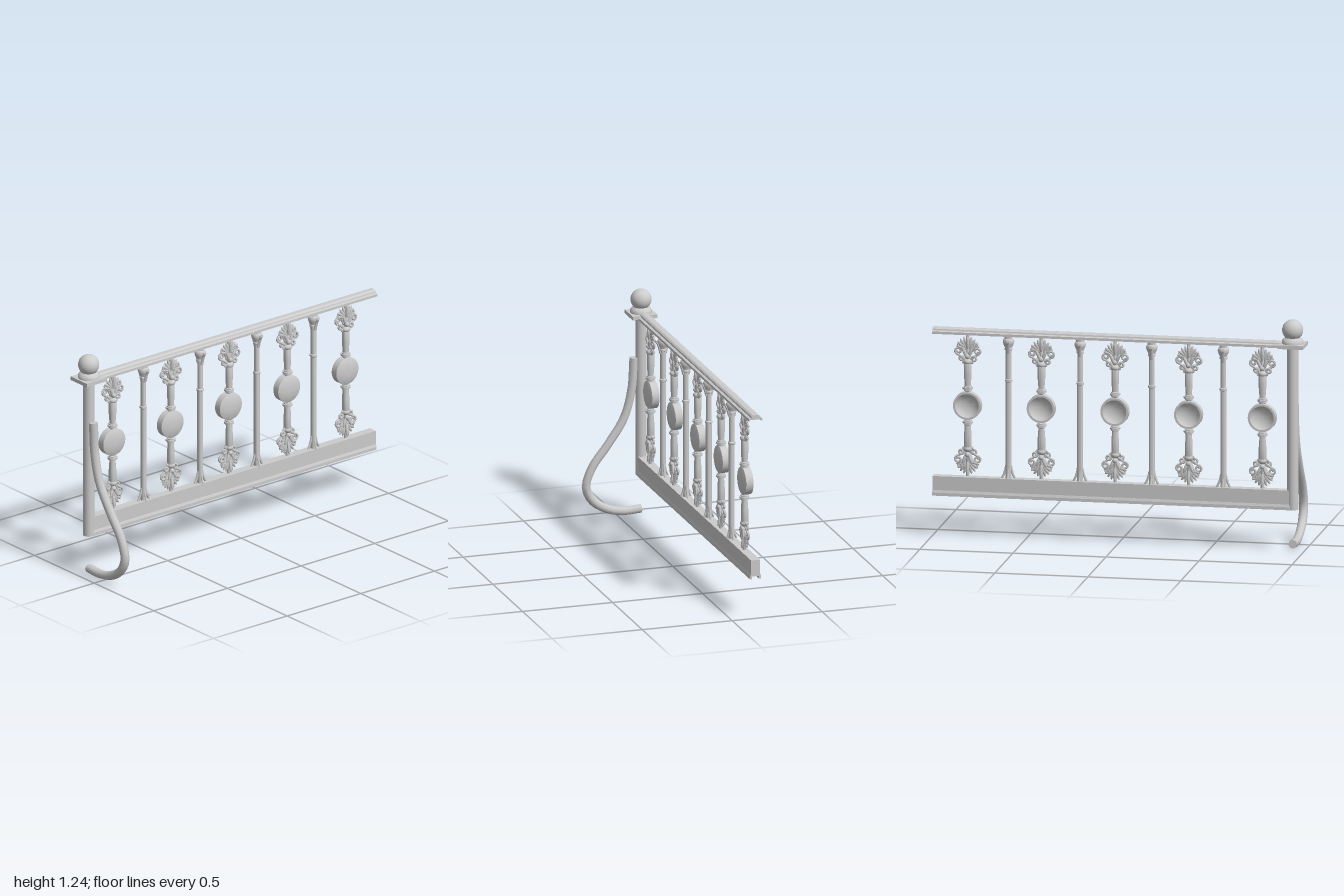
import * as THREE from 'three';
import { mergeGeometries, toCreasedNormals } from 'three/addons/utils/BufferGeometryUtils.js';

const V = (x, y, z = 0) => new THREE.Vector3(x, y, z);
const grey = new THREE.MeshStandardMaterial({ color: 0xcccccc });
const Z = -0.13; // centre plane of the fence
const POST_X = -0.932;

function add(parent, name, geometry, x = 0, y = 0, z = 0) {
  const mesh = new THREE.Mesh(geometry, grey);
  mesh.name = name;
  mesh.position.set(x, y, z);
  parent.add(mesh);
  return mesh;
}

// Turned part from [radius, height] pairs, listed bottom to top
function turned(profile, segments = 20, crease = 0.7) {
  const pts = profile.map(([r, h]) => new THREE.Vector2(r, h));
  return toCreasedNormals(new THREE.LatheGeometry(pts, segments), crease);
}

// Moulding swept along x; half profile is [z, y] up the right-hand side, then mirrored
function moulding(half, x0, x1) {
  const all = [...half, ...half.slice().reverse().map(([z, y]) => [-z, y])];
  const shape = new THREE.Shape(all.map(([z, y]) => new THREE.Vector2(z, y)));
  const g = new THREE.ExtrudeGeometry(shape, { depth: x1 - x0, bevelEnabled: false });
  return g.rotateY(Math.PI / 2).translate(x0, 0, Z);
}

// Scroll: a stem leaving the rod and winding into a spiral
function scroll(startY, cx, cy, R, from, turn, thick) {
  const pts = [V(0, startY)];
  for (let i = 0; i <= 12; i++) {
    const t = i / 12, a = from + turn * t, r = R * (1 - 0.65 * t);
    pts.push(V(cx + r * Math.cos(a), cy + r * Math.sin(a), 0.006 * t));
  }
  return new THREE.TubeGeometry(new THREE.CatmullRomCurve3(pts), 26, thick, 6);
}

// Slim leaf growing from a base point, leaning by an angle
function leaf(baseY, length, angle, z = 0, tilt = 0) {
  return new THREE.SphereGeometry(1, 8, 6)
    .scale(0.009, length / 2, 0.007)
    .translate(0, length / 2, 0)
    .rotateX(tilt).rotateZ(angle)
    .translate(0, baseY, z);
}

// Leaf-and-scroll cluster, heights measured from the disc centre
function foliageGeometry() {
  const parts = [];
  for (const side of [0, Math.PI]) {
    parts.push(
      scroll(0.235, 0.05, 0.292, 0.02, -1.6, 8, 0.0065),
      scroll(0.22, 0.034, 0.25, 0.018, -1.9, -7.5, 0.0065),
      scroll(0.275, 0.04, 0.325, 0.014, -1.2, 7.5, 0.005),
    );
    for (const p of parts.slice(-3)) p.rotateY(side);
  }
  for (const a of [0.3, 0.62, 0.95, 1.3])
    for (const s of [-1, 1]) parts.push(leaf(0.3, 0.076 - 0.008 * a, s * a));
  for (const s of [-1, 1]) {
    parts.push(leaf(0.3, 0.075, 0, s * 0.006, s * 0.14));
    for (const a of [-0.4, 0.4]) parts.push(leaf(0.25, 0.07, a, s * 0.008, s * 0.1));
    parts.push(new THREE.SphereGeometry(0.014, 10, 8).translate(0, 0.265, s * 0.01));
  }
  parts.push(new THREE.SphereGeometry(0.024, 14, 10).scale(1, 0.75, 1).translate(0, 0.235, 0));
  return mergeGeometries(parts);
}

export function createModel() {
  const model = new THREE.Group();
  model.name = 'railing';

  // Post with square cap and ball finial
  const post = new THREE.Group();
  post.name = 'post';
  post.position.set(POST_X, 0, Z);
  model.add(post);
  add(post, 'postShaft', new THREE.CylinderGeometry(0.03, 0.03, 0.88, 20), 0, 0.66);
  add(post, 'capPlate', new THREE.BoxGeometry(0.136, 0.02, 0.136), 0, 1.107);
  add(post, 'finialBase', turned([[0, 1.115], [0.057, 1.115], [0.057, 1.132], [0.052, 1.14],
    [0.04, 1.146], [0.036, 1.155], [0, 1.155]], 24));
  add(post, 'finialBall', new THREE.SphereGeometry(0.056, 28, 20), 0, 1.189);

  // Handrail and hollow-bottomed base beam
  add(model, 'handrail', moulding([[0.03, 1.095], [0.037, 1.095], [0.037, 1.108], [0.024, 1.112],
    [0.022, 1.12], [0.014, 1.126], [0.005, 1.127]].reduce((a, p) => [...a, p], [[0.03, 1.102]]), -0.9, 1));
  add(model, 'baseBeam', moulding([[0.02, 0.236], [0.02, 0.22], [0.03, 0.22], [0.03, 0.236],
    [0.025, 0.25], [0.025, 0.325]], POST_X + 0.01, 1));

  // Curved brace in front of the post
  const path = new THREE.CatmullRomCurve3([[-0.09, 0.87], [-0.077, 0.69], [-0.035, 0.54],
    [0.055, 0.4], [0.14, 0.285], [0.175, 0.175], [0.14, 0.1], [0.06, 0.048], [-0.03, 0.027],
    [-0.13, 0.031]].map(([z, y]) => V(POST_X, y, z)));
  add(model, 'brace', new THREE.TubeGeometry(path, 36, 0.024, 8));
  for (const t of [0, 1]) {
    const p = path.getPoint(t);
    const end = add(model, 'braceEnd', new THREE.CircleGeometry(0.024, 8), p.x, p.y, p.z);
    end.lookAt(p.clone().addScaledVector(path.getTangent(t), t ? 1 : -1));
  }

  // Ornate balusters: rod, collars, dished disc, foliage at both ends
  const rod = turned([[0.01, -0.385], [0.01, -0.26], [0.02, -0.22], [0.017, -0.12], [0.017, 0.12],
    [0.02, 0.22], [0.01, 0.26], [0.01, 0.382]], 14);
  const collar = turned([[0.016, -0.014], [0.021, -0.012], [0.021, -0.006], [0.027, -0.005],
    [0.027, 0.005], [0.021, 0.006], [0.021, 0.012], [0.016, 0.014]], 18);
  const disc = turned([[0, 0.002], [0.03, -0.002], [0.052, -0.012], [0.064, -0.025], [0.075, -0.025],
    [0.075, 0.015], [0.068, 0.019], [0.035, 0.024], [0.008, 0.028], [0, 0.028]], 32, 0.6).rotateX(Math.PI / 2);
  const foliage = foliageGeometry();
  for (let i = 0; i < 5; i++) {
    const b = new THREE.Group();
    b.name = 'ornateBaluster';
    b.position.set(-0.77 + 0.396 * i, 0.71, Z);
    model.add(b);
    // The rod is split so it never crosses the hollow of the disc
    for (const [name, turn] of [['upper', 0], ['lower', Math.PI]]) {
      const half = new THREE.Group();
      half.name = name + 'Half';
      half.rotation.z = turn;
      b.add(half);
      add(half, 'rod', halfRod);
      add(half, 'collar', collar, 0, 0.092);
      add(half, 'foliage', foliage);
    }
    add(b, 'disc', disc);
  }

  // Plain balusters: slim rod, ring, bud head with side leaves, splayed foot
  const plain = turned([[0.016, 0.32], [0.016, 0.845], [0.02, 0.848], [0.02, 0.858], [0.015, 0.861],
    [0.015, 1.015], [0.021, 1.018], [0.021, 1.026], [0.018, 1.03], [0.027, 1.048], [0.031, 1.062],
    [0.027, 1.076], [0.022, 1.08], [0.022, 1.097]], 16);
  const toe = new THREE.TubeGeometry(new THREE.CatmullRomCurve3(
    [V(0.012, 0.395), V(0.017, 0.37), V(0.026, 0.343), V(0.037, 0.324)]), 8, 0.0065, 6);
  const headLeaf = new THREE.TubeGeometry(new THREE.CatmullRomCurve3(
    [V(0.014, 1.0), V(0.022, 1.03), V(0.031, 1.055), V(0.039, 1.066), V(0.036, 1.074)]), 10, 0.005, 6)
    .scale(1, 1, 2.2).rotateY(Math.PI / 2);
  for (let i = 0; i < 4; i++) {
    const b = new THREE.Group();
    b.name = 'plainBaluster';
    b.position.set(-0.56 + 0.385 * i, 0, Z);
    model.add(b);
    add(b, 'shaft', plain);
    for (let k = 0; k < 4; k++) {
      const t = add(b, 'footToe', toe);
      t.rotation.y = k * Math.PI / 2;
      if (k % 2) t.scale.x = 0.75;
    }
    for (const a of [0, Math.PI]) add(b, 'headLeaf', headLeaf).rotation.y = a;
  }
  return model;
}

// Upper half of an ornate baluster's rod, above the disc
const halfRod = turned([[0.015, 0.066], [0.017, 0.12], [0.02, 0.16], [0.02, 0.225],
  [0.01, 0.26], [0.01, 0.382], [0, 0.384]], 14);
